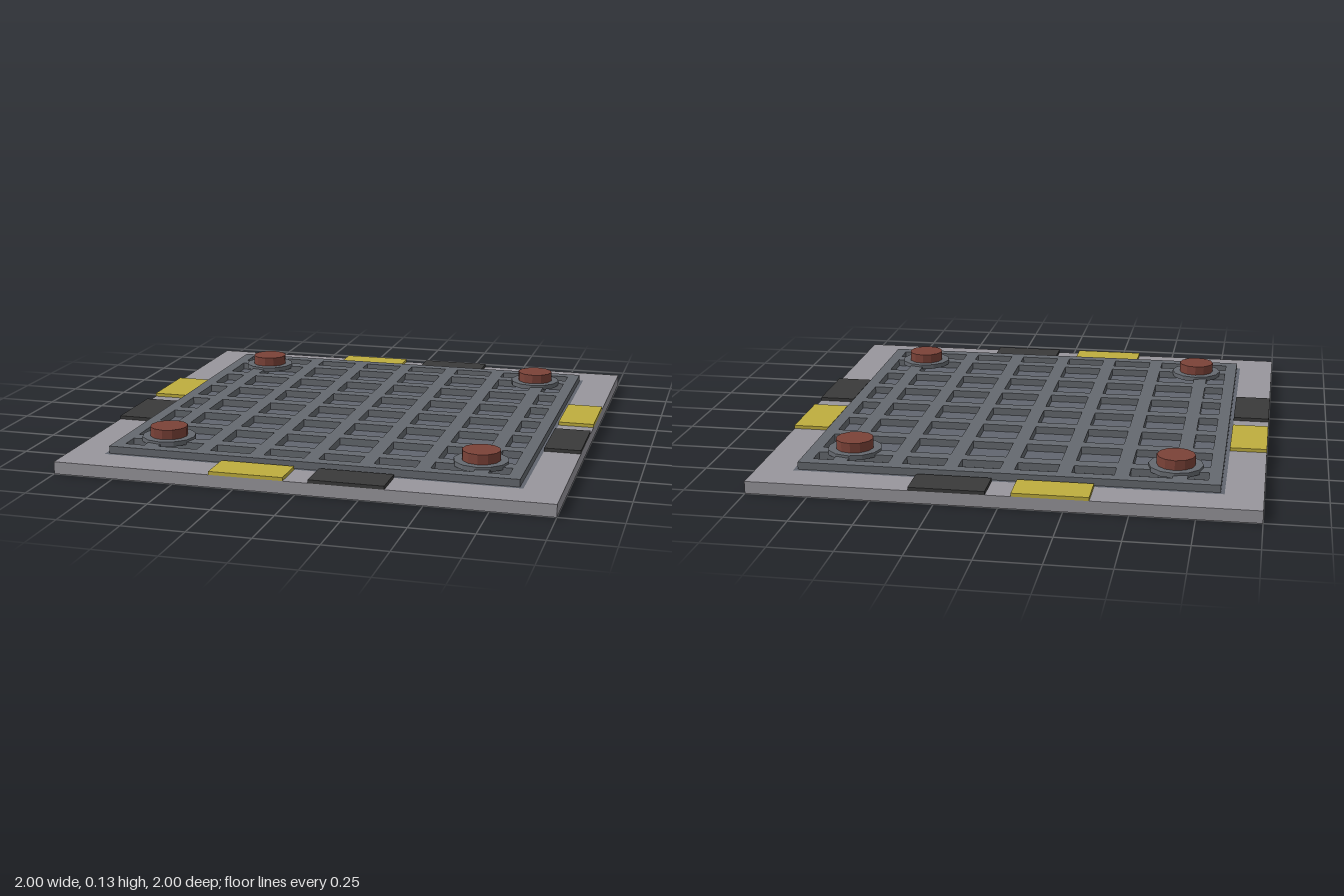
import * as THREE from 'three';

const mat = (name, color) => new THREE.MeshStandardMaterial({ name, color });

export function createModel() {
  const frameGrey = mat('frameGrey', 0x98969c);
  const plateGrey = mat('plateGrey', 0x61666f);
  const grateGrey = mat('grateGrey', 0x65696f);
  const yellow = mat('yellow', 0xbfae3e);
  const black = mat('black', 0x3a3a3a);
  const rust = mat('rust', 0x7b4238);

  const model = new THREE.Group();
  model.name = 'floorPanel';
  const add = (name, geo, material, x = 0, y = 0, z = 0) => {
    const mesh = new THREE.Mesh(geo, material);
    mesh.name = name;
    mesh.position.set(x, y, z);
    model.add(mesh);
    return mesh;
  };

  // Rectangle outline used for the frame and the grate openings
  const rect = (path, x0, y0, x1, y1) => {
    path.moveTo(x0, y0);
    path.lineTo(x1, y0);
    path.lineTo(x1, y1);
    path.lineTo(x0, y1);
    path.closePath();
    return path;
  };
  // Extruded slab lying flat, rising from its base
  const slab = (shape, depth) =>
    new THREE.ExtrudeGeometry(shape, { depth, bevelEnabled: false }).rotateX(-Math.PI / 2);

  // Outer frame around the recessed plate
  const frame = rect(new THREE.Shape(), -1, -1, 1, 1);
  frame.holes.push(rect(new THREE.Path(), -0.85, -0.85, 0.85, 0.85));
  add('outerFrame', slab(frame, 0.05), frameGrey);
  add('innerPlate', new THREE.BoxGeometry(1.7, 0.05, 1.7), plateGrey, 0, 0.025, 0);

  // Raised grate: an 8 by 8 grid of openings, narrow along the border
  const cells = [];
  for (let i = -4; i < 4; i++) {
    cells.push([Math.max(i * 0.225 + 0.029, -0.785), Math.min((i + 1) * 0.225 - 0.029, 0.785)]);
  }
  const grate = rect(new THREE.Shape(), -0.835, -0.835, 0.835, 0.835);
  for (const [x0, x1] of cells) {
    for (const [y0, y1] of cells) grate.holes.push(rect(new THREE.Path(), x0, y0, x1, y1));
  }
  add('grate', slab(grate, 0.03), grateGrey, 0, 0.05, 0);

  // Corner bolts on washers
  const washerGeo = new THREE.CylinderGeometry(0.11, 0.11, 0.02, 12).toNonIndexed();
  const boltGeo = new THREE.CylinderGeometry(0.077, 0.077, 0.04, 12).toNonIndexed();
  washerGeo.computeVertexNormals();
  boltGeo.computeVertexNormals();
  for (const x of [-0.65, 0.65]) {
    for (const z of [-0.65, 0.65]) {
      add('washer', washerGeo, grateGrey, x, 0.08, z);
      add('bolt', boltGeo, rust, x, 0.11, z);
    }
  }

  // Hazard pads, a yellow and black pair on every edge
  const padX = new THREE.BoxGeometry(0.3, 0.014, 0.15);
  const padZ = new THREE.BoxGeometry(0.15, 0.014, 0.3);
  for (const [name, material, offset] of [['yellowPad', yellow, -0.2], ['blackPad', black, 0.2]]) {
    for (const side of [-1, 1]) {
      add(name, padX, material, offset, 0.057, side * 0.925);
      add(name, padZ, material, side * 0.925, 0.057, offset);
    }
  }
  return model;
}
